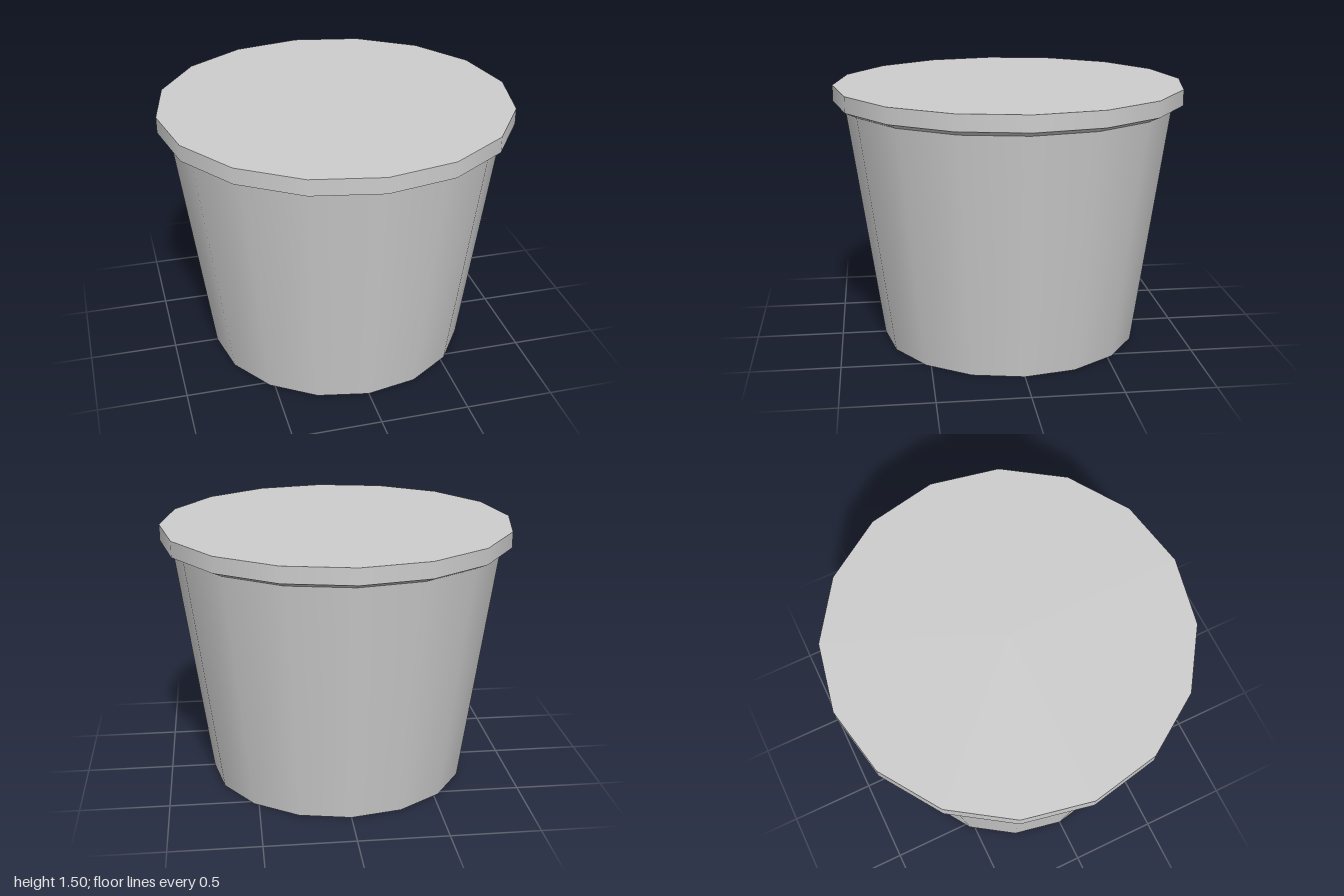
import * as THREE from 'three';

const SIDES = 16;

export function createModel() {
  const group = new THREE.Group();
  group.name = 'tub';
  const grey = new THREE.MeshStandardMaterial({ color: 0xcccccc });
  grey.name = 'light grey';

  // Tapered section between two heights, smooth around its side
  const section = (name, rBottom, rTop, y0, y1, open) => {
    const geometry = new THREE.CylinderGeometry(rTop, rBottom, y1 - y0, SIDES, 1, open);
    const mesh = new THREE.Mesh(geometry, grey);
    mesh.name = name;
    mesh.position.y = (y0 + y1) / 2;
    group.add(mesh);
  };

  section('body', 0.745, 0.935, 0, 1.38, false);
  section('lidUnderside', 0.935, 1, 1.38, 1.41, true);
  section('lid', 1, 1, 1.41, 1.5, false);

  return group;
}
